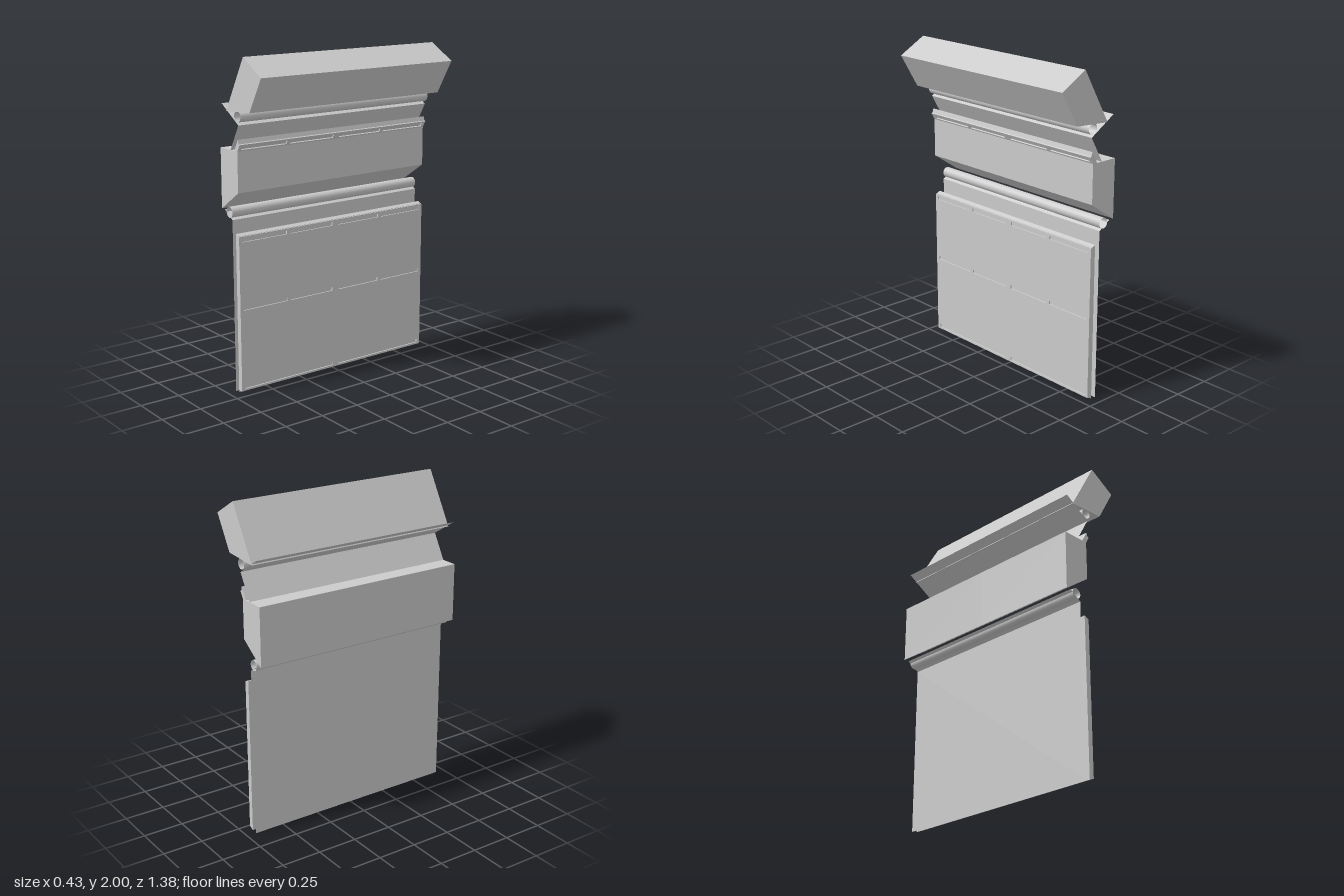
import * as THREE from 'three';

const HALF = 0.692;   // length of one of the two bays along z
const RECESS = 0.008; // depth of the slots

export function createModel() {
  const model = new THREE.Group();
  const solid = new THREE.MeshStandardMaterial({ color: 0xcccccc });
  const thin = new THREE.MeshStandardMaterial({ color: 0xcccccc, side: THREE.DoubleSide });

  const add = (parent, name, geometry, material = solid) => {
    const mesh = new THREE.Mesh(geometry, material);
    mesh.name = name;
    parent.add(mesh);
    return mesh;
  };

  // Closed x/y profile swept along one bay
  const prism = (parent, name, points) => {
    const shape = new THREE.Shape(points.map(([x, y]) => new THREE.Vector2(x, y)));
    return add(parent, name, new THREE.ExtrudeGeometry(shape, { depth: HALF, bevelEnabled: false }));
  };

  // Face plate with slots; slots are [u0, u1, v0, v1] from the bay's middle and the plate's foot
  const slottedPlate = (parent, name, x, y, height, slots, tilt = 0) => {
    const rect = (path, u0, u1, v0, v1) =>
      path.moveTo(u0, v0).lineTo(u1, v0).lineTo(u1, v1).lineTo(u0, v1).closePath();
    const shape = rect(new THREE.Shape(), -HALF / 2, HALF / 2, 0, height);
    slots.forEach((s) => shape.holes.push(rect(new THREE.Path(), ...s)));
    const g = new THREE.ExtrudeGeometry(shape, { depth: RECESS, bevelEnabled: false });
    g.rotateY(Math.PI / 2).translate(-RECESS, 0, 0).rotateZ(-tilt);
    add(parent, name, g).position.set(x, y, HALF / 2);
  };

  // Open sheet following an x/y line over the full length
  const sheet = (name, points) => {
    const pos = [];
    for (let i = 0; i < points.length - 1; i++) {
      const [a, b] = [points[i], points[i + 1]];
      const [p, q, r, s] = [[...a, HALF], [...a, -HALF], [...b, -HALF], [...b, HALF]];
      pos.push(...p, ...q, ...r, ...p, ...r, ...s);
    }
    const g = new THREE.BufferGeometry();
    g.setAttribute('position', new THREE.Float32BufferAttribute(pos, 3));
    g.computeVertexNormals();
    add(model, name, g, thin);
  };

  const pair = (v0, v1) => [[-0.323, -0.013, v0, v1], [0.013, 0.323, v0, v1]];

  // Two identical bays
  for (const z of [-HALF, 0]) {
    const bay = new THREE.Group();
    bay.name = z < 0 ? 'rearBay' : 'frontBay';
    bay.position.z = z;
    model.add(bay);

    // Lower wall panels
    prism(bay, 'lowerPanel', [[-0.07, 0.005], [-0.045, 0.016], [-0.045, 0.49], [-0.07, 0.49]]);
    slottedPlate(bay, 'lowerPanelFace', -0.037, 0.018, 0.472, [[-0.323, 0.323, 0.012, 0.034]]);
    prism(bay, 'upperPanel', [[-0.07, 0.49], [-0.045, 0.49], [-0.045, 0.964], [-0.07, 0.975]]);
    slottedPlate(bay, 'upperPanelFace', -0.037, 0.49, 0.472,
      [...pair(0.026, 0.048), ...pair(0.438, 0.46)]);

    // Middle locker with its tilted upper lip
    prism(bay, 'middleLocker', [[-0.215, 1.10], [-0.037, 1.22], [-0.037, 1.46], [-0.044, 1.464],
      [-0.022, 1.503], [-0.03, 1.53], [-0.07, 1.46], [-0.215, 1.46]]);
    slottedPlate(bay, 'lockerLipFace', -0.037, 1.46, 0.047, pair(0.01, 0.036), Math.PI / 6);

    // Overhead locker
    prism(bay, 'overheadLocker', [[-0.145, 1.68], [0.095, 1.695], [0.215, 1.90], [0.04, 2.0]]);
  }

  // Backing sheets with folded lips
  sheet('lowerBackSheet', [[-0.104, 0], [-0.104, 1.05], [-0.183, 1.10]]);
  sheet('upperBackSheet', [[-0.108, 1.46], [-0.021, 1.612], [-0.193, 1.718]]);

  // Hollow tubes lying in the gaps beneath the lockers
  for (const [name, x, y] of [['lowerTube', -0.134, 1.091], ['upperTube', -0.03, 1.66]]) {
    const tube = new THREE.CylinderGeometry(0.032, 0.032, HALF * 2, 32, 1, true).rotateX(Math.PI / 2);
    add(model, name, tube, thin).position.set(x, y, 0);
  }

  return model;
}
